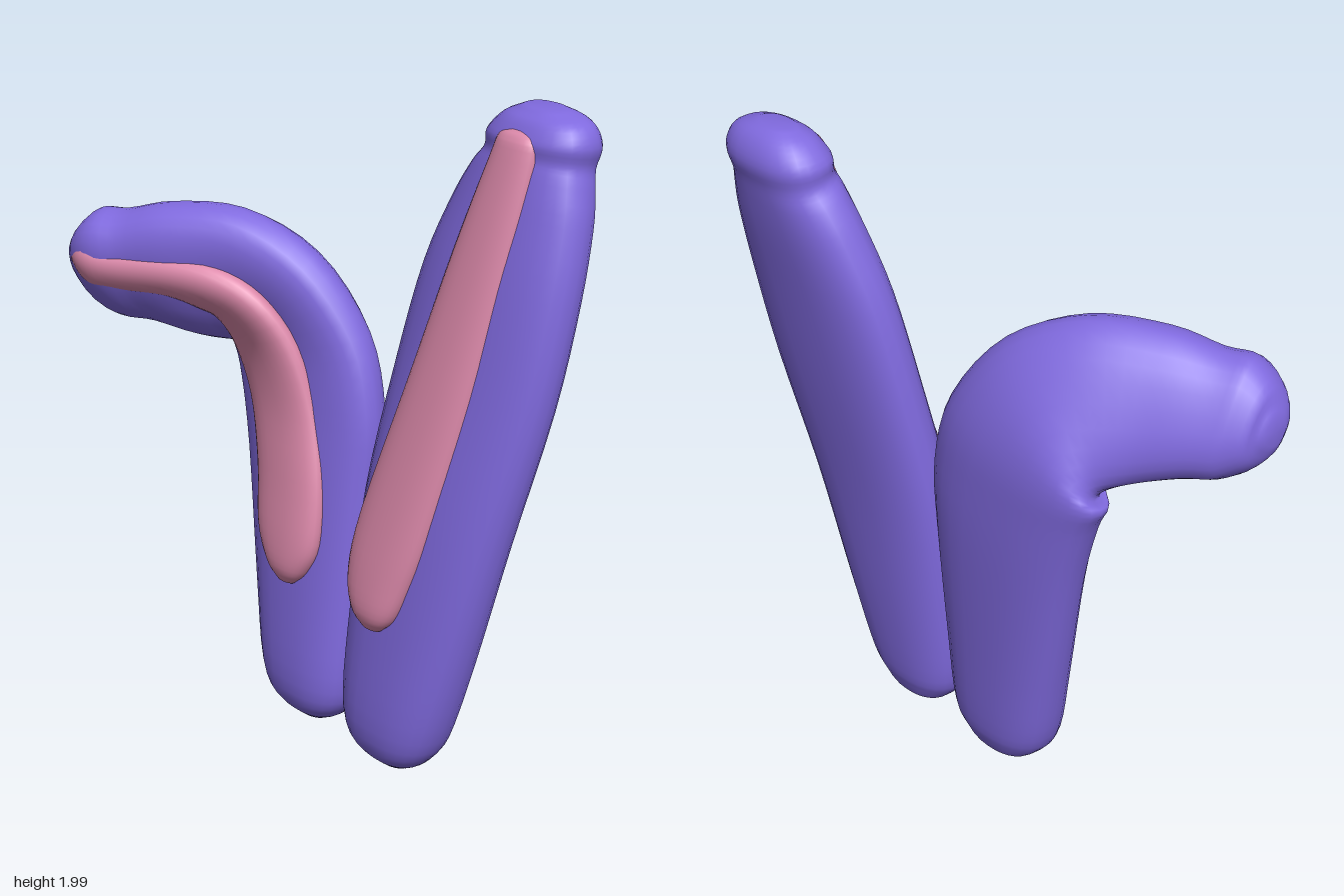
import * as THREE from 'three';

const SIDES = 28;
const STEPS = 4;

// Smooth closed loft. Each station is [outer edge point, inner edge point, half thickness];
// power < 1 makes the cross-section squarer than an ellipse.
function loft(stations, power) {
  const spline = (pts) => new THREE.CatmullRomCurve3(pts, false, 'catmullrom', 0.5);
  const outer = spline(stations.map((s) => new THREE.Vector3(...s[0])));
  const inner = spline(stations.map((s) => new THREE.Vector3(...s[1])));
  const thick = spline(stations.map((s) => new THREE.Vector3(s[2], 0, 0)));
  const rows = (stations.length - 1) * STEPS;
  const mid = (t) => outer.getPoint(t).add(inner.getPoint(t)).multiplyScalar(0.5);
  const soft = (v) => Math.sign(v) * Math.pow(Math.abs(v), power);

  const pos = [];
  const index = [];
  for (let i = 0; i <= rows; i++) {
    const t = i / rows;
    const c = mid(t);
    const u = outer.getPoint(t).sub(c);
    const along = mid(Math.min(1, t + 0.02)).sub(mid(Math.max(0, t - 0.02)));
    const n = new THREE.Vector3().crossVectors(u, along).normalize().multiplyScalar(thick.getPoint(t).x);
    for (let j = 0; j < SIDES; j++) {
      const a = (j / SIDES) * Math.PI * 2;
      const p = c.clone().addScaledVector(u, soft(Math.cos(a))).addScaledVector(n, soft(Math.sin(a)));
      pos.push(p.x, p.y, p.z);
    }
  }
  for (let i = 0; i < rows; i++) {
    for (let j = 0; j < SIDES; j++) {
      const k = (j + 1) % SIDES;
      const a = i * SIDES + j, b = a + SIDES, c = i * SIDES + k, d = c + SIDES;
      index.push(a, b, c, c, b, d);
    }
  }
  // End caps
  const first = pos.length / 3;
  for (const t of [0, 1]) pos.push(...mid(t).toArray());
  for (let j = 0; j < SIDES; j++) {
    const k = (j + 1) % SIDES;
    index.push(first, j, k, first + 1, rows * SIDES + k, rows * SIDES + j);
  }
  const g = new THREE.BufferGeometry();
  g.setAttribute('position', new THREE.Float32BufferAttribute(pos, 3));
  g.setIndex(index);
  g.computeVertexNormals();
  return g;
}

// Level station for upright parts: height, left and right x, depth, half thickness
const level = (y, x0, x1, z, b) => [[x1, y, z], [x0, y, z], b];

export function createModel() {
  const purple = new THREE.MeshStandardMaterial({ color: 0x806adf });
  purple.name = 'purple fur';
  const pink = new THREE.MeshStandardMaterial({ color: 0xdd8aab });
  pink.name = 'pink lining';

  const model = new THREE.Group();
  model.name = 'ears';
  const addPart = (parent, name, material, stations, power) => {
    const mesh = new THREE.Mesh(loft(stations, power), material);
    mesh.name = name;
    parent.add(mesh);
  };

  // Upright ear, leaning outward and back, with a small knob at the tip
  const left = new THREE.Group();
  left.name = 'uprightEar';
  model.add(left);
  addPart(left, 'uprightEarShell', purple, [
    level(0.005, 0.27, 0.41, -0.02, 0.05),
    level(0.045, 0.21, 0.47, -0.02, 0.09),
    level(0.14, 0.155, 0.535, -0.018, 0.118),
    level(0.4, 0.14, 0.61, -0.045, 0.125),
    level(0.8, 0.145, 0.70, -0.095, 0.124),
    level(1.2, 0.185, 0.778, -0.168, 0.12),
    level(1.5, 0.238, 0.803, -0.222, 0.118),
    level(1.7, 0.308, 0.793, -0.265, 0.114),
    level(1.8, 0.36, 0.772, -0.286, 0.11),
    level(1.855, 0.40, 0.757, -0.298, 0.107),
    level(1.91, 0.405, 0.767, -0.305, 0.112),
    level(1.965, 0.455, 0.735, -0.306, 0.085),
    level(1.995, 0.52, 0.65, -0.305, 0.04),
  ], 0.85);
  addPart(left, 'uprightEarLining', pink, [
    level(0.47, 0.31, 0.38, 0.078, 0.02),
    level(0.52, 0.26, 0.43, 0.073, 0.047),
    level(0.62, 0.225, 0.47, 0.055, 0.055),
    level(0.8, 0.24, 0.52, 0.02, 0.055),
    level(1.2, 0.335, 0.595, -0.065, 0.055),
    level(1.6, 0.43, 0.645, -0.147, 0.05),
    level(1.86, 0.498, 0.665, -0.205, 0.045),
    level(1.92, 0.515, 0.655, -0.217, 0.035),
    level(1.94, 0.55, 0.62, -0.22, 0.015),
  ], 0.9);

  // Folded ear, bending sideways and forward above the crease
  const right = new THREE.Group();
  right.name = 'foldedEar';
  model.add(right);
  addPart(right, 'foldedEarShell', purple, [
    level(0.005, -0.12, 0.02, -0.02, 0.05),
    level(0.045, -0.19, 0.08, -0.02, 0.09),
    level(0.14, -0.25, 0.135, -0.018, 0.118),
    level(0.4, -0.31, 0.15, -0.038, 0.122),
    level(0.8, -0.40, 0.16, -0.072, 0.12),
    level(1.03, -0.468, 0.155, -0.085, 0.115),
    [[0.095, 1.25, -0.075], [-0.505, 1.115, -0.085], 0.115],
    [[-0.05, 1.46, 0.0], [-0.47, 1.135, -0.08], 0.118],
    [[-0.25, 1.57, 0.105], [-0.455, 1.14, -0.03], 0.122],
    [[-0.45, 1.57, 0.225], [-0.50, 1.155, 0.045], 0.125],
    [[-0.58, 1.53, 0.30], [-0.61, 1.19, 0.12], 0.12],
    [[-0.67, 1.52, 0.345], [-0.69, 1.20, 0.18], 0.12],
    [[-0.755, 1.46, 0.34], [-0.76, 1.25, 0.22], 0.09],
    [[-0.795, 1.39, 0.30], [-0.795, 1.32, 0.26], 0.04],
  ], 0.85);
  addPart(right, 'foldedEarLining', pink, [
    level(0.47, -0.10, -0.03, 0.078, 0.02),
    level(0.52, -0.15, 0.02, 0.073, 0.047),
    level(0.62, -0.21, 0.06, 0.06, 0.055),
    level(0.8, -0.245, 0.05, 0.035, 0.055),
    level(1.0, -0.30, 0.0, 0.018, 0.055),
    [[-0.06, 1.2, 0.05], [-0.36, 1.15, 0.03], 0.055],
    [[-0.14, 1.34, 0.12], [-0.38, 1.25, 0.085], 0.055],
    [[-0.26, 1.41, 0.19], [-0.395, 1.28, 0.135], 0.055],
    [[-0.42, 1.43, 0.265], [-0.46, 1.31, 0.195], 0.055],
    [[-0.58, 1.43, 0.345], [-0.60, 1.31, 0.28], 0.055],
    [[-0.66, 1.44, 0.38], [-0.67, 1.31, 0.325], 0.05],
    [[-0.72, 1.41, 0.38], [-0.725, 1.35, 0.35], 0.025],
  ], 0.9);

  return model;
}
